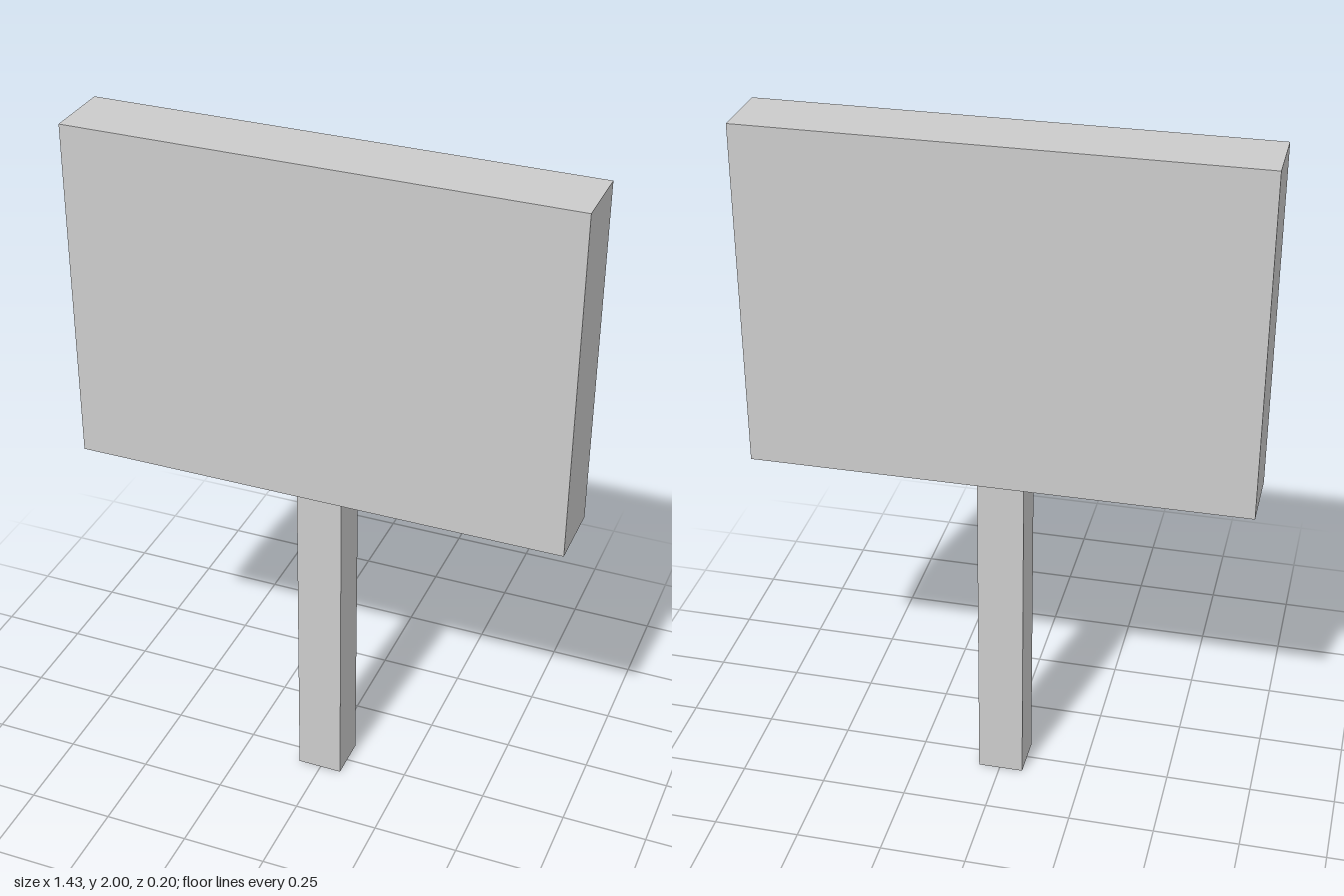
import * as THREE from 'three';

export function createModel() {
  const group = new THREE.Group();
  group.name = 'signpost';
  const material = new THREE.MeshStandardMaterial({ color: 0xcccccc, flatShading: true });

  // Adds a box given its size and the centre of its underside
  function addBox(name, [w, h, d], [x, y, z]) {
    const mesh = new THREE.Mesh(new THREE.BoxGeometry(w, h, d), material);
    mesh.name = name;
    mesh.position.set(x, y + h / 2, z);
    group.add(mesh);
  }

  // Square post, a touch off centre, meeting the board's underside
  addBox('post', [0.133, 1.003, 0.129], [-0.003, 0, -0.005]);

  // Thick rectangular sign board
  addBox('signBoard', [1.426, 0.997, 0.2], [0, 1.003, 0]);

  return group;
}
